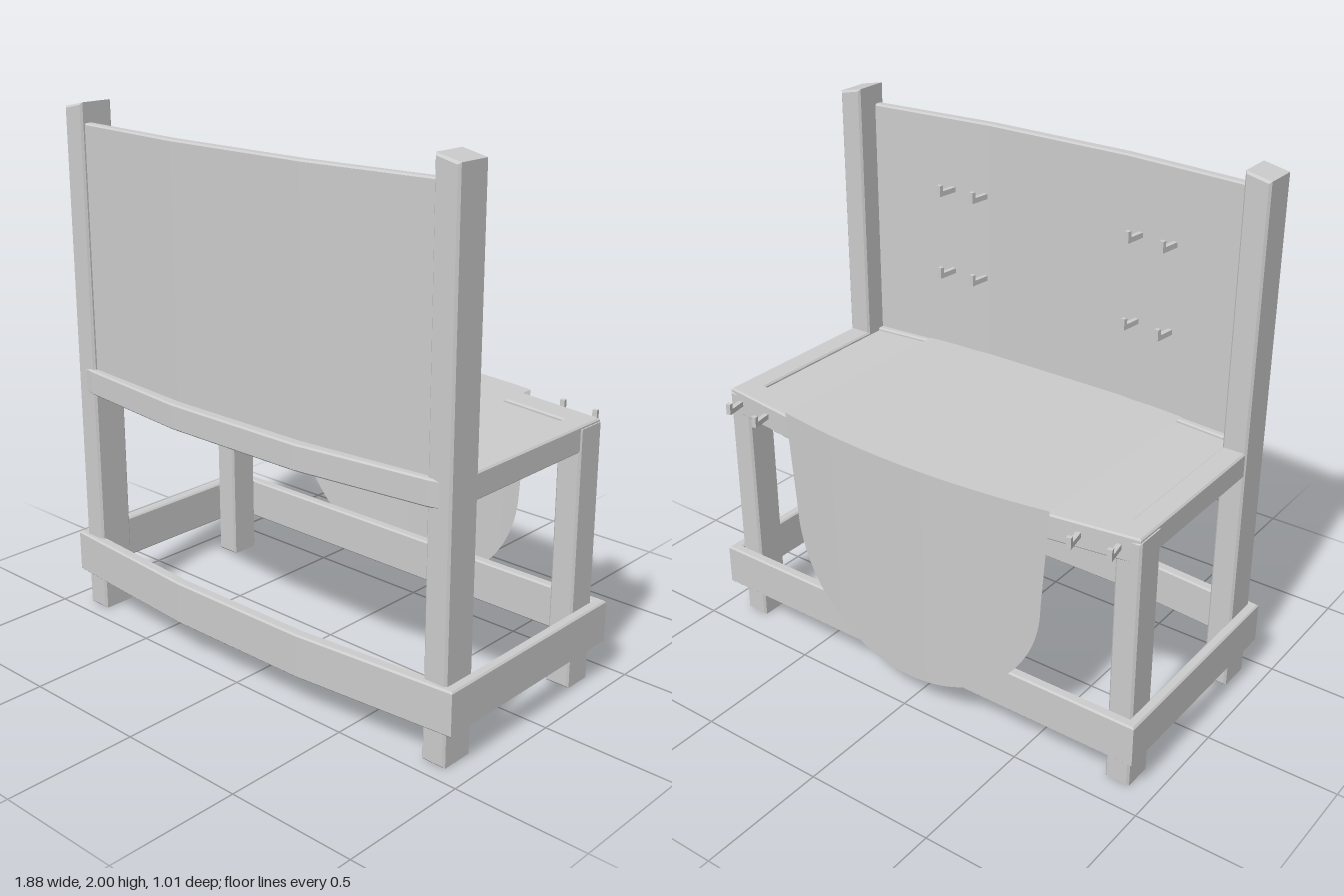
import * as THREE from 'three';

const wood = new THREE.MeshStandardMaterial({ color: 0xcccccc });
const fabric = new THREE.MeshStandardMaterial({ color: 0xcccccc, side: THREE.DoubleSide });

function extrude(shape, depth, bevel) {
  const g = new THREE.ExtrudeGeometry(shape, {
    depth: depth - 2 * bevel, bevelEnabled: bevel > 0, bevelSize: bevel,
    bevelThickness: bevel, bevelOffset: -bevel, bevelSegments: 1,
  });
  g.translate(0, 0, bevel);
  return g;
}

// Mirrors half of an outline (x >= 0, listed front to back as [x, z]) across x = 0
const mirrored = (half) => [...half, ...half.slice().reverse().map(([x, z]) => [-x, z])]
  .map(([x, z]) => new THREE.Vector2(x, -z));

// Horizontal slab of a given plan outline, with an optional opening
function slab(name, half, y0, y1, hole, bevel = 0.006) {
  const shape = new THREE.Shape(mirrored(half));
  if (hole) shape.holes.push(new THREE.Path(mirrored(hole)));
  const g = extrude(shape, y1 - y0, bevel);
  g.rotateX(-Math.PI / 2);
  const mesh = new THREE.Mesh(g, wood);
  mesh.name = name;
  mesh.position.y = y0;
  return mesh;
}

// Square post whose top slopes down to the outside
function post(name, side, z0, z1, yIn, yOut) {
  const shape = new THREE.Shape([[0.81, 0], [0.905, 0], [0.905, yOut], [0.81, yIn]]
    .map(([x, y]) => new THREE.Vector2(side * x, y)));
  const mesh = new THREE.Mesh(extrude(shape, z1 - z0, 0.008), wood);
  mesh.name = name;
  mesh.position.z = z0;
  return mesh;
}

// Small peg pointing to -z with an upturned tip
function hook(x, y, z, lean) {
  const g = new THREE.Group();
  g.name = 'hook';
  const rod = new THREE.Mesh(new THREE.BoxGeometry(0.018, 0.02, 0.08), wood);
  rod.name = 'hookRod';
  rod.position.z = -0.035;
  const tip = new THREE.Mesh(new THREE.BoxGeometry(0.018, 0.042, 0.016), wood);
  tip.name = 'hookTip';
  tip.position.set(0, 0.012, -0.069);
  g.add(rod, tip);
  g.position.set(x, y, z);
  g.rotation.y = lean;
  return g;
}

// Cloth over the table top, then hanging down behind with a rounded lower end
function clothPart(name, rows, place) {
  const cols = 32, pos = [], idx = [];
  for (let r = 0; r <= rows; r++) {
    for (let c = 0; c <= cols; c++) {
      pos.push(...place(2 * c / cols - 1, r / rows));
      if (r < rows && c < cols) {
        const a = r * (cols + 1) + c, b = a + cols + 1;
        idx.push(a, a + 1, b, b, a + 1, b + 1);
      }
    }
  }
  const g = new THREE.BufferGeometry();
  g.setAttribute('position', new THREE.Float32BufferAttribute(pos, 3));
  g.setIndex(idx);
  g.computeVertexNormals();
  const mesh = new THREE.Mesh(g, fabric);
  mesh.name = name;
  return mesh;
}

export function createModel() {
  const model = new THREE.Group();
  model.name = 'stall';

  // Tall front posts and short back legs
  for (const side of [1, -1]) {
    model.add(post('tallPost', side, 0.30, 0.44, 2.0, 1.98));
    model.add(post('backLeg', side, -0.395, -0.27, 0.985, 0.985));
  }

  // Low rail running around the outside of the legs
  model.add(slab('lowerRail',
    [[0.30, 0.505], [0.94, 0.452], [0.94, -0.44]], 0.135, 0.30,
    [[0.30, 0.462], [0.90, 0.412], [0.90, -0.40]]));

  // Table frame with a recessed top board
  model.add(slab('tableFrame',
    [[0.30, 0.508], [0.815, 0.45], [0.90, 0.43], [0.90, -0.39], [0.58, -0.435], [0.30, -0.472]],
    0.90, 0.997,
    [[0.30, 0.415], [0.81, 0.365], [0.81, -0.30], [0.30, -0.37]]));
  model.add(slab('tableBoard',
    [[0.30, 0.43], [0.83, 0.375], [0.83, -0.31], [0.30, -0.38]], 0.955, 0.985, null, 0));

  // Bowed upright panel between the tall posts
  model.add(slab('uprightPanel',
    [[0.30, 0.472], [0.83, 0.424], [0.83, 0.388], [0.30, 0.432]], 0.98, 1.925));

  // Cloth
  const backZ = (x) => -0.442 - 0.05 * (1 - (x / 0.58) ** 2);
  model.add(clothPart('clothTop', 12, (u, v) => {
    const x = u * 0.58;
    return [x - 0.008, 1.0 + 0.014 * v, THREE.MathUtils.lerp(0.42, backZ(x), v)];
  }));
  model.add(clothPart('clothDrop', 40, (u, v) => {
    const t = Math.sin(v * Math.PI / 2);
    const y = 1.014 - 0.894 * t;
    const taper = 0.55 + 0.03 * Math.max(0, (y - 0.62) / 0.394);
    const w = taper * Math.sqrt(Math.max(0, 1 - (Math.max(0, 0.62 - y) / 0.5) ** 2));
    const x = u * w;
    return [x - 0.008, y, backZ(x) + 0.014 * t];
  }));

  // Hooks on the upright panel and on the back edge of the table
  for (const y of [1.65, 1.32]) {
    for (const [x, z] of [[-0.515, 0.405], [-0.37, 0.415], [0.31, 0.42], [0.455, 0.41]]) {
      model.add(hook(x, y, z, -0.12));
    }
  }
  for (const [x, z] of [[-0.83, -0.41], [-0.688, -0.428], [0.69, -0.428], [0.838, -0.41]]) {
    model.add(hook(x, 0.955, z, 0.18));
  }
  return model;
}
